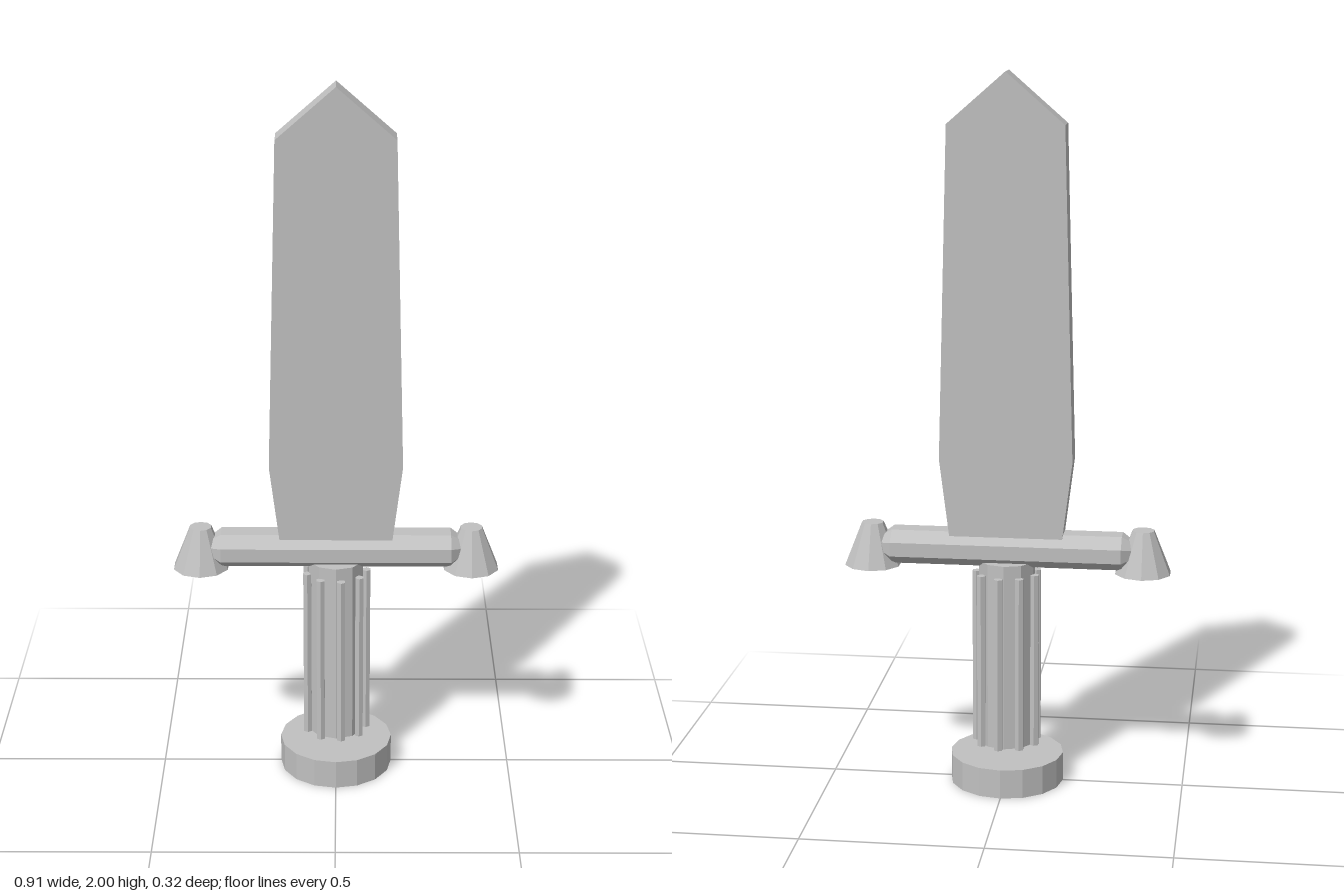
import * as THREE from 'three';

export function createModel() {
  const model = new THREE.Group();
  model.name = 'sword';
  const steel = new THREE.MeshStandardMaterial({ color: 0xc0c0c0, flatShading: true });
  steel.name = 'grey steel';

  const add = (name, geometry, x = 0, y = 0, z = 0, parent = model) => {
    const mesh = new THREE.Mesh(geometry, steel);
    mesh.name = name;
    mesh.position.set(x, y, z);
    parent.add(mesh);
    return mesh;
  };

  // Blade: flat plate, widest low down, with a pointed tip
  const half = [[0.155, 0.7], [0.185, 0.94], [0.16, 1.86]];
  const outline = [
    ...half, [0, 2], ...half.map(([x, y]) => [-x, y]).reverse(),
  ].map(([x, y]) => new THREE.Vector2(x, y));
  const blade = new THREE.ExtrudeGeometry(new THREE.Shape(outline), { depth: 0.08, bevelEnabled: false });
  add('blade', blade, 0, 0, -0.04);

  // Crossguard: octagonal bar along x with chamfered ends
  const bar = new THREE.LatheGeometry(
    [[0, -0.35], [0.043, -0.35], [0.07, -0.322], [0.07, 0.322], [0.043, 0.35], [0, 0.35]]
      .map(([r, h]) => new THREE.Vector2(r, h)), 8);
  bar.rotateY(Math.PI / 8).rotateZ(Math.PI / 2).scale(1, 0.74, 1);
  add('crossguard', bar, 0, 0.684, 0);

  // Tapered caps on the guard ends
  for (const side of [-1, 1]) {
    add(side > 0 ? 'leftGuardCap' : 'rightGuardCap',
      new THREE.CylinderGeometry(0.031, 0.08, 0.122, 10), side * 0.38, 0.685, 0);
  }

  // Grip: core ringed by nine thin hexagonal rods
  const grip = new THREE.Group();
  grip.name = 'grip';
  model.add(grip);
  add('gripCore', new THREE.CylinderGeometry(0.08, 0.08, 0.535, 10), 0, 0.3825, 0, grip);
  const rod = new THREE.CylinderGeometry(0.013, 0.013, 0.5, 6);
  for (let i = 0; i < 9; i++) {
    const a = (i / 9) * Math.PI * 2;
    add('gripRod', rod, 0.086 * Math.cos(a), 0.365, 0.086 * Math.sin(a), grip);
  }

  // Pommel disc, set just below the grip
  add('pommel', new THREE.CylinderGeometry(0.16, 0.16, 0.083, 16), 0, 0.0415, 0);

  return model;
}
